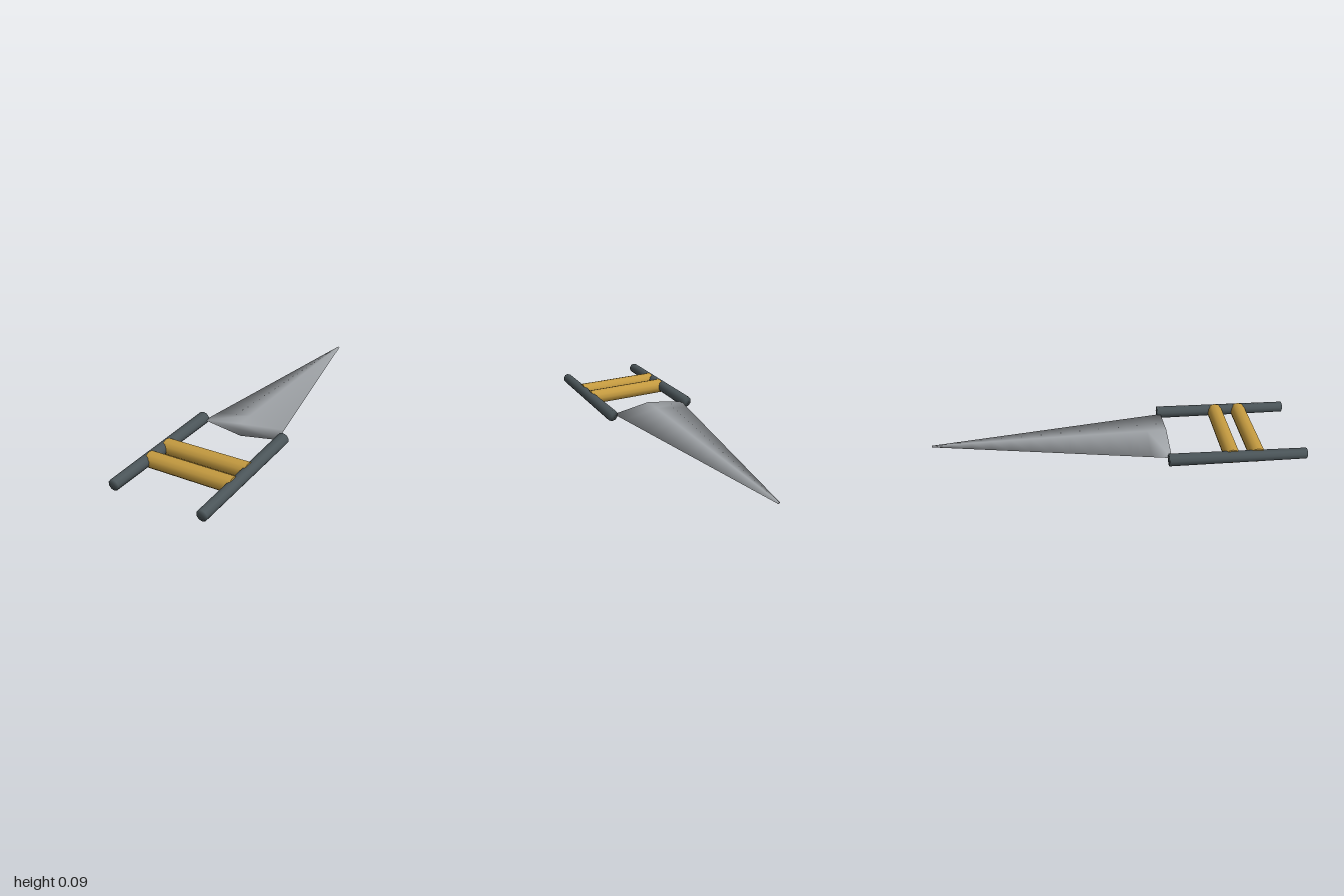
import * as THREE from 'three';
import { mergeVertices } from 'three/addons/utils/BufferGeometryUtils.js';

const steel = new THREE.MeshStandardMaterial({ name: 'bladeSteel', color: 0xa0a4a8 });
const iron = new THREE.MeshStandardMaterial({ name: 'darkIron', color: 0x4b5559 });
const gold = new THREE.MeshStandardMaterial({ name: 'goldGrip', color: 0xc59b40 });

const MID_Y = 0.0425;

// Welds the seams and caps so the whole part shades smoothly
function smooth(geometry) {
  geometry.deleteAttribute('normal');
  geometry.deleteAttribute('uv');
  const welded = mergeVertices(geometry, 1e-4);
  welded.computeVertexNormals();
  return welded;
}

// Long tapering blade with a diamond cross-section, point towards -z
function bladeGeometry() {
  const zBase = 0.28, zTip = -1;
  const geo = new THREE.CylinderGeometry(1, 1, zBase - zTip, 4, 12);
  geo.rotateX(-Math.PI / 2);
  geo.translate(0, 0, (zBase + zTip) / 2);
  const p = geo.attributes.position;
  for (let i = 0; i < p.count; i++) {
    const t = (zBase - p.getZ(i)) / (zBase - zTip);
    p.setX(i, p.getX(i) * THREE.MathUtils.lerp(0.22, 0.008, t));
    p.setY(i, p.getY(i) * THREE.MathUtils.lerp(0.036, 0.006, t));
  }
  return smooth(geo);
}

export function createModel() {
  const model = new THREE.Group();
  model.name = 'punchDagger';
  const add = (name, geometry, material, x, y, z) => {
    const mesh = new THREE.Mesh(geometry, material);
    mesh.name = name;
    mesh.position.set(x, y, z);
    model.add(mesh);
  };

  add('blade', bladeGeometry(), steel, 0, MID_Y, 0);

  // Side rails, slightly thicker at the blade end
  const rail = new THREE.CylinderGeometry(0.0335, 0.029, 0.74, 10);
  rail.rotateX(-Math.PI / 2);
  const railGeo = smooth(rail);
  for (const [name, x] of [['leftRail', 0.239], ['rightRail', -0.239]]) {
    add(name, railGeo, iron, x, MID_Y + 0.002, 0.63);
  }

  // Two cross grips between the rails
  const grip = new THREE.CylinderGeometry(0.0425, 0.0425, 0.47, 12);
  grip.rotateZ(Math.PI / 2);
  for (const [name, z] of [['innerGrip', 0.6], ['outerGrip', 0.737]]) {
    add(name, grip, gold, 0, MID_Y, z);
  }

  return model;
}
